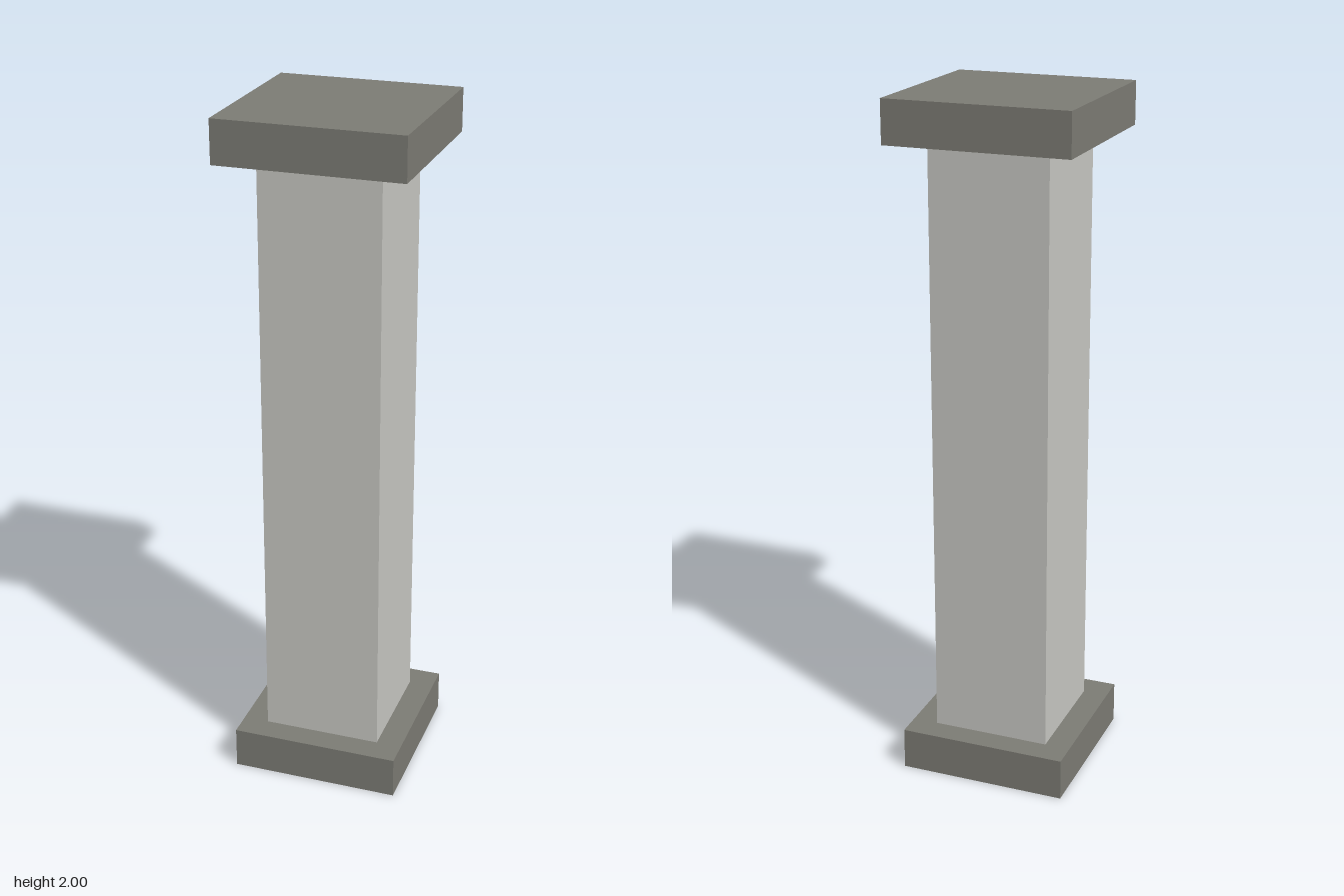
import * as THREE from 'three';

const HEIGHT = 2;
const SLAB = 0.123; // thickness of base and cap

// Square block standing on y = bottom
function block(name, width, bottom, top, material) {
  const mesh = new THREE.Mesh(new THREE.BoxGeometry(width, top - bottom, width), material);
  mesh.name = name;
  mesh.position.y = (bottom + top) / 2;
  return mesh;
}

export function createModel() {
  const darkStone = new THREE.MeshStandardMaterial({ color: 0x7d7c75 });
  const lightStone = new THREE.MeshStandardMaterial({ color: 0xc9c9c4 });

  const pillar = new THREE.Group();
  pillar.name = 'pillar';
  pillar.add(
    block('base', 0.496, 0, SLAB, darkStone),
    block('shaft', 0.347, SLAB, HEIGHT - SLAB, lightStone),
    block('cap', 0.53, HEIGHT - SLAB, HEIGHT, darkStone),
  );
  return pillar;
}
